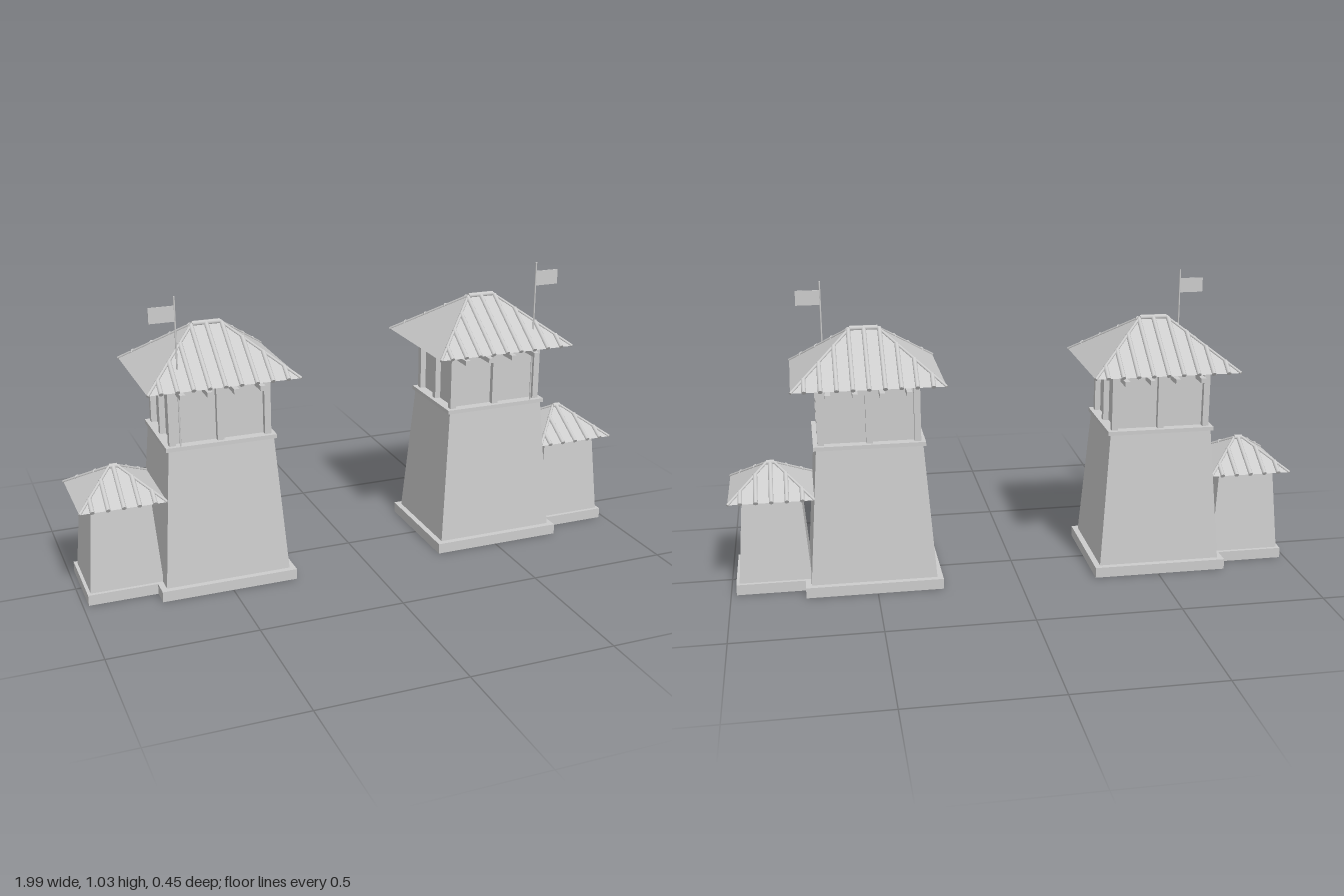
import * as THREE from 'three';

const stone = new THREE.MeshStandardMaterial({ color: 0xcccccc, side: THREE.DoubleSide });
stone.name = 'pale grey';

function add(group, name, geometry, x = 0, y = 0, z = 0) {
  const mesh = new THREE.Mesh(geometry, stone);
  mesh.name = name;
  mesh.position.set(x, y, z);
  group.add(mesh);
  return mesh;
}

// Box from y0 to y1 whose top has its own half sizes; a zero depth top gives a hipped roof
function taper(hx, hz, y0, topX, topZ, y1) {
  const geo = new THREE.BoxGeometry(2, y1 - y0, 2).toNonIndexed();
  const p = geo.attributes.position;
  for (let i = 0; i < p.count; i++) {
    const top = p.getY(i) > 0;
    p.setX(i, p.getX(i) * (top ? topX : hx));
    p.setZ(i, p.getZ(i) * (top ? topZ : hz));
  }
  geo.translate(0, (y0 + y1) / 2, 0);
  geo.computeVertexNormals();
  return geo;
}

// Plinth: a box left open underneath
function openBox(hx, hz, h) {
  const geo = new THREE.BoxGeometry(hx * 2, h, hz * 2);
  const index = Array.from(geo.index.array);
  index.splice(18, 6);
  geo.setIndex(index);
  geo.clearGroups();
  return geo.translate(0, h / 2, 0);
}

// Round rod between two points
function rod(group, name, a, b, r) {
  const from = new THREE.Vector3(...a), to = new THREE.Vector3(...b);
  const dir = to.clone().sub(from);
  const mesh = add(group, name, new THREE.CylinderGeometry(r, r, dir.length(), 10));
  mesh.position.copy(from).add(to).multiplyScalar(0.5);
  mesh.quaternion.setFromUnitVectors(new THREE.Vector3(0, 1, 0), dir.normalize());
}

// Hipped roof with tile rolls on the front and back slopes
function roof(hx, hz, eave, ridge, ridgeX, count, pitch) {
  const g = new THREE.Group();
  g.name = 'roof';
  add(g, 'roofSlopes', taper(hx, hz, eave, ridgeX, 0, ridge));
  rod(g, 'ridgeRoll', [-ridgeX, ridge, 0], [ridgeX, ridge, 0], 0.009);
  for (const sz of [-1, 1]) {
    for (const sx of [-1, 1]) {
      rod(g, 'hipRoll', [sx * hx, eave, sz * hz], [sx * ridgeX, ridge, 0], 0.005);
    }
    for (let k = -count; k <= count; k++) {
      const x = k * pitch;
      const t = Math.max(0, (Math.abs(x) - ridgeX) / (hx - ridgeX));
      rod(g, 'tileRoll', [x, eave, sz * hz],
        [x, ridge - t * (ridge - eave), sz * hz * t], 0.008);
    }
  }
  return g;
}

function mainTower() {
  const g = new THREE.Group();
  g.name = 'mainTower';
  add(g, 'plinth', openBox(0.237, 0.203, 0.037));
  add(g, 'taperedWalls', taper(0.217, 0.182, 0.037, 0.181, 0.148, 0.512));
  add(g, 'ledge', new THREE.BoxGeometry(0.38, 0.014, 0.308), 0, 0.518, 0);

  // Watch room with posts, top beam and joists
  add(g, 'watchRoom', new THREE.BoxGeometry(0.31, 0.19, 0.24), 0, 0.618, 0);
  for (const x of [-0.164, 0, 0.164]) {
    for (const z of [-0.128, 0, 0.128]) {
      if (x || z) add(g, 'post', new THREE.BoxGeometry(0.022, 0.19, 0.022), x, 0.618, z);
    }
  }
  add(g, 'topBeam', new THREE.BoxGeometry(0.352, 0.024, 0.28), 0, 0.724, 0);
  for (const x of [-0.135, -0.045, 0.045, 0.135]) {
    add(g, 'joist', new THREE.BoxGeometry(0.018, 0.017, 0.376), x, 0.704, 0);
  }
  g.add(roof(0.256, 0.222, 0.735, 0.893, 0.048, 4, 0.053));
  return g;
}

function sideTower() {
  const g = new THREE.Group();
  g.name = 'sideTower';
  add(g, 'plinth', openBox(0.135, 0.137, 0.037));
  add(g, 'taperedWalls', taper(0.124, 0.124, 0.037, 0.1, 0.102, 0.336));
  g.add(roof(0.146, 0.152, 0.337, 0.43, 0.014, 2, 0.052));
  return g;
}

export function createModel() {
  const model = new THREE.Group();
  model.name = 'gateTowers';
  for (const s of [-1, 1]) {
    const pair = new THREE.Group();
    pair.name = s > 0 ? 'leftTowers' : 'rightTowers';
    const main = mainTower(), side = sideTower();
    main.position.x = s * 0.508;
    side.position.x = s * 0.846;
    pair.add(main, side);

    // Flag on a pole rising from the ledge through the roof
    rod(pair, 'flagPole', [s * 0.647, 0.525, 0.146], [s * 0.647, 1.03, 0.146], 0.0028);
    add(pair, 'flag', new THREE.BoxGeometry(0.085, 0.052, 0.003), s * 0.69, 0.973, 0.146);
    model.add(pair);
  }
  return model;
}
